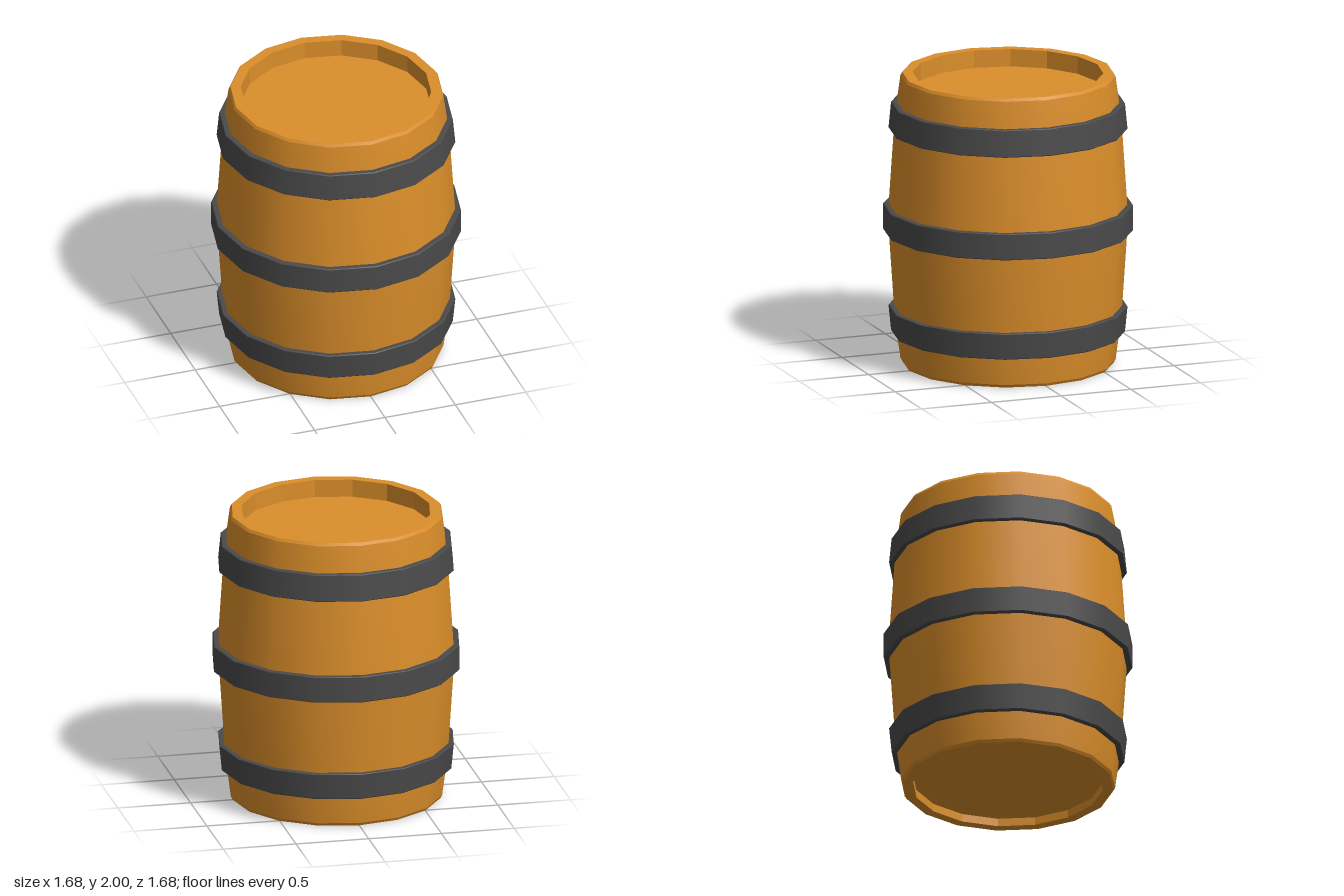
import * as THREE from 'three';
import { mergeGeometries } from 'three/addons/utils/BufferGeometryUtils.js';

const SIDES = 16;

// Revolve a profile; points run counter-clockwise (upwards = facing out)
function revolve(profile) {
  return new THREE.LatheGeometry(profile.map(([r, y]) => new THREE.Vector2(r, y)), SIDES);
}

// Revolve each profile edge on its own, so the corners between them stay sharp
function revolveSharp(profile) {
  return mergeGeometries(profile.slice(1).map((p, i) => revolve([profile[i], p])));
}

// Flat-shaded copy of a geometry
function facet(geometry) {
  const flat = geometry.toNonIndexed();
  flat.computeVertexNormals();
  return flat;
}

export function createModel() {
  const group = new THREE.Group();
  const wood = new THREE.MeshStandardMaterial({ color: 0xdb8e2a });
  wood.name = 'wood';
  const iron = new THREE.MeshStandardMaterial({ color: 0x4a4a4a });
  iron.name = 'iron';

  const add = (name, geometry, material) => {
    const mesh = new THREE.Mesh(geometry, material);
    mesh.name = name;
    group.add(mesh);
  };

  // Bulging stave wall, mirrored about mid height
  const upper = [[0.805, 1], [0.8, 1.1], [0.76, 1.7], [0.722, 1.98]];
  const lower = upper.slice(1).reverse().map(([r, y]) => [r, 2 - y]);
  add('staveWall', revolve([...lower, ...upper]), wood);

  // Rims with a small outer bevel
  add('topRim', revolveSharp([[0.722, 1.98], [0.71, 2], [0.64, 2]]), wood);
  add('bottomRim', revolveSharp([[0.64, 0], [0.71, 0], [0.722, 0.02]]), wood);

  // Faceted recess walls and sunken lids, deeper at the top
  const topLidY = 1.88;
  const bottomLidY = 0.055;
  add('topRecess', facet(revolve([[0.64, 2], [0.64, topLidY]])), wood);
  add('bottomRecess', facet(revolve([[0.64, bottomLidY], [0.64, 0]])), wood);
  add('topLid', revolve([[0.64, topLidY], [0, topLidY]]), wood);
  add('bottomLid', revolve([[0, bottomLidY], [0.64, bottomLidY]]), wood);

  // Iron hoops: [name, bottom y, top y, bottom radius, top radius]
  const hoops = [
    ['bottomHoop', 0.21, 0.392, 0.785, 0.802],
    ['middleHoop', 0.911, 1.092, 0.839, 0.839],
    ['topHoop', 1.612, 1.797, 0.802, 0.785],
  ];
  const b = 0.005;
  for (const [name, y0, y1, r0, r1] of hoops) {
    add(name, revolveSharp([
      [r0 - 0.07, y0], [r0 - b, y0], [r0, y0 + b],
      [r1, y1 - b], [r1 - b, y1], [r1 - 0.07, y1],
    ]), iron);
  }
  return group;
}
